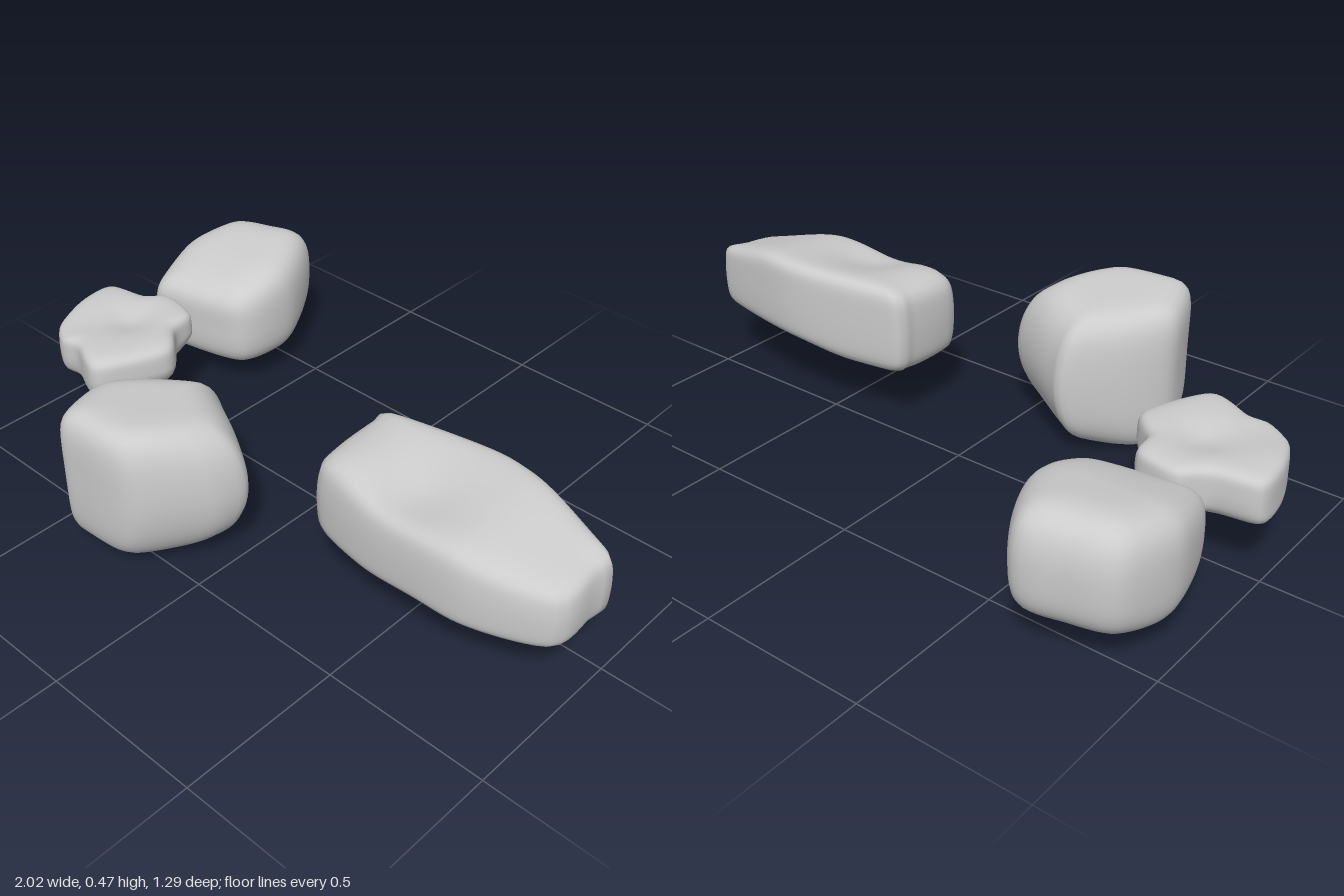
import * as THREE from 'three';

const SIDES = 72, RINGS = 44;
const bump = (x, z, cx, cz, r) => Math.exp(-((x - cx) ** 2 + (z - cz) ** 2) / (r * r));
const ramp = THREE.MathUtils.smoothstep;

// A rounded boulder: plan outline swept through a squared-off vertical profile.
// lower / upper scale and shift the plan towards the bottom and the top.
function boulder({ name, outline, top, bottom, power, lower, upper }) {
  const curve = new THREE.CatmullRomCurve3(
    outline.map(([x, z]) => new THREE.Vector3(x, 0, z)), true, 'catmullrom', 0.4);
  const plan = curve.getSpacedPoints(SIDES).slice(0, SIDES);
  const c = new THREE.Box3().setFromPoints(plan).getCenter(new THREE.Vector3());
  const pos = [], index = [];
  for (let i = 0; i <= RINGS; i++) {
    const a = (i / RINGS - 0.5) * Math.PI;
    const co = Math.max(Math.cos(a), 1e-4), si = Math.sin(a);
    const n = (co ** power + Math.abs(si) ** power) ** (1 / power);
    const r = co / n, h = si / n, w = h * h;
    const { scale, dx = 0, dz = 0 } = h < 0 ? lower : upper;
    const s = r * (1 + (scale - 1) * w);
    for (const p of plan) {
      const x = c.x + (p.x - c.x) * s + dx * w;
      const z = c.z + (p.z - c.z) * s + dz * w;
      pos.push(x, THREE.MathUtils.lerp(bottom(x, z), top(x, z), (h + 1) / 2), z);
    }
  }
  for (let i = 0; i < RINGS; i++) {
    for (let j = 0; j < SIDES; j++) {
      const k = (j + 1) % SIDES, m = i * SIDES, u = m + SIDES;
      index.push(m + j, m + k, u + k, m + j, u + k, u + j);
    }
  }
  const g = new THREE.BufferGeometry();
  g.setAttribute('position', new THREE.Float32BufferAttribute(pos, 3));
  g.setIndex(index);
  g.computeVertexNormals();
  const mesh = new THREE.Mesh(g, new THREE.MeshStandardMaterial({ color: 0xcccccc }));
  mesh.name = name;
  return mesh;
}

// Blocky rock at the back, leaning forward towards its top
const backRock = () => boulder({
  name: 'backRock',
  power: 5,
  outline: [[-0.98, -0.39], [-0.92, -0.18], [-0.83, -0.17], [-0.585, -0.24],
    [-0.55, -0.44], [-0.665, -0.645], [-0.8, -0.63], [-0.93, -0.575]],
  top: (x, z) => 0.41 - 0.17 * (z + 0.4) - 0.02 * ramp(z, -0.4, -0.17),
  bottom: (x, z) => 0.08 + 0.035 * ramp(-z, 0.4, 0.64),
  lower: { scale: 0.93 },
  upper: { scale: 0.92, dz: 0.025 },
});

// Thin flat rock with a lump beneath it
const flatRock = () => boulder({
  name: 'flatRock',
  power: 7,
  outline: [[-1, -0.05], [-1, 0.07], [-0.95, 0.2], [-0.87, 0.255], [-0.8, 0.25], [-0.66, 0.29],
    [-0.565, 0.08], [-0.645, -0.02], [-0.67, -0.11], [-0.8, -0.14], [-0.87, -0.085]],
  top: (x, z) => 0.342 - 0.02 * bump(x, z, -0.78, 0.05, 0.08) - 0.015 * bump(x, z, -0.9, 0.2, 0.1),
  bottom: (x, z) => 0.182 + 0.03 * ramp(-z, 0, 0.13)
    - 0.045 * bump(x, z, -0.79, 0.04, 0.08) - 0.015 * bump(x, z, -0.87, 0.1, 0.06),
  lower: { scale: 0.9, dx: -0.025 },
  upper: { scale: 0.98 },
});

// Tall rock at the front, undercut on its left side
const tallRock = () => boulder({
  name: 'tallRock',
  power: 6,
  outline: [[-0.46, 0.43], [-0.4, 0.615], [-0.32, 0.635], [-0.13, 0.605], [-0.01, 0.445],
    [0.02, 0.365], [0.01, 0.305], [-0.185, 0.19], [-0.25, 0.17], [-0.39, 0.3]],
  top: (x, z) => 0.472 + 0.1 * (z - 0.45) - 0.02 * ramp(x, -0.12, 0.02),
  bottom: (x, z) => 0.005 + 0.06 * ramp(x, -0.25, 0) + 0.03 * ramp(z, 0.4, 0.63)
    + 0.04 * ramp(-z, -0.38, -0.2),
  lower: { scale: 0.87, dx: -0.035, dz: 0.02 },
  upper: { scale: 0.9, dx: -0.025, dz: 0.02 },
});

// Long slab, tilted towards the front with a shallow trough on top
const longSlab = () => boulder({
  name: 'longSlab',
  power: 8,
  outline: [[0.215, 0.04], [0.21, 0.19], [0.24, 0.27], [0.46, 0.31], [0.75, 0.315],
    [0.98, 0.22], [0.995, 0.08], [0.98, 0.01], [0.62, -0.065], [0.24, -0.01]],
  top: (x, z) => 0.462 - 0.13 * (z - 0.13) - 0.045 * ramp(x, 0.7, 0.98)
    - 0.03 * bump(x, z, 0.5, 0.2, 0.13) + 0.012 * bump(x, z, 0.33, 0.2, 0.1),
  bottom: (x, z) => 0.178 + 0.022 * ramp(x, 0.4, 0.65) + 0.015 * ramp(-z, -0.1, 0.05)
    + 0.02 * bump(x, z, 0.6, 0.13, 0.12),
  lower: { scale: 0.97 },
  upper: { scale: 0.96, dz: -0.005 },
});

export function createModel() {
  const group = new THREE.Group();
  group.name = 'rocks';
  group.add(backRock(), flatRock(), tallRock(), longSlab());
  return group;
}
